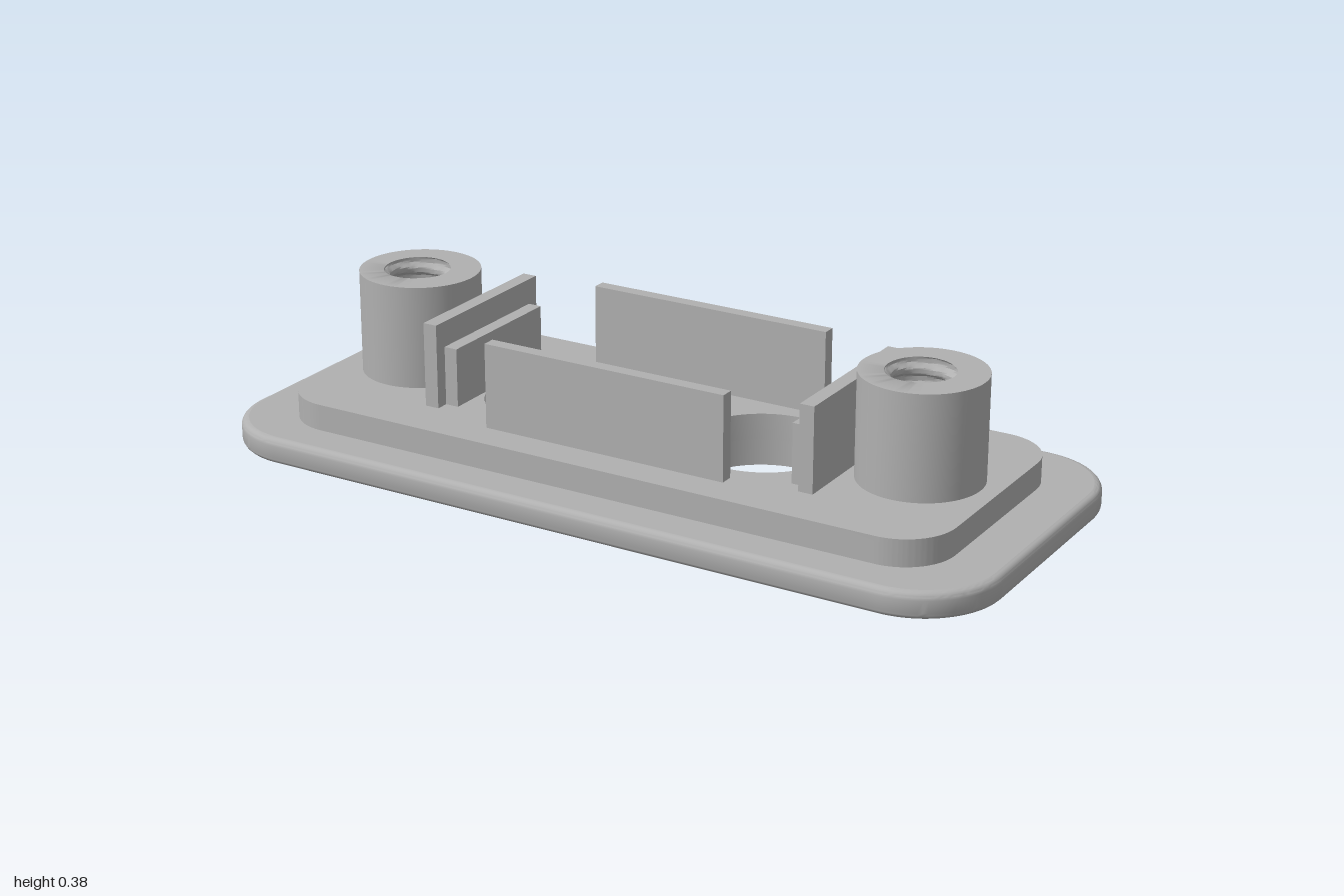
import * as THREE from 'three';
import { toCreasedNormals } from 'three/addons/utils/BufferGeometryUtils.js';

const HOLE_X = 0.28, HOLE_R = 0.18;
const BASE_TOP = 0.065, STEP_TOP = 0.13;

// Rounded rectangle from half sizes and a corner radius
function roundedRect(w, d, r) {
  const s = new THREE.Shape();
  [[1, 1], [-1, 1], [-1, -1], [1, -1]].forEach(([sx, sy], i) =>
    s.absarc(sx * (w - r), sy * (d - r), r, i * Math.PI / 2, (i + 1) * Math.PI / 2, false));
  s.closePath();
  return s;
}

function addHoles(shape) {
  for (const side of [-1, 1]) {
    const hole = new THREE.Path();
    hole.absarc(side * HOLE_X, 0, HOLE_R, 0, Math.PI * 2, true);
    shape.holes.push(hole);
  }
  return shape;
}

// Skin closed rings of [x, y, z] points, counterclockwise from above
function loft(rings, crease) {
  const n = rings[0].length, index = [];
  for (let i = 0; i < rings.length - 1; i++) {
    for (let j = 0; j < n; j++) {
      const a = i * n + j, b = i * n + (j + 1) % n;
      index.push(a, b, b + n, a, b + n, a + n);
    }
  }
  const g = new THREE.BufferGeometry();
  g.setAttribute('position', new THREE.Float32BufferAttribute(rings.flat(2), 3));
  g.setIndex(index);
  return toCreasedNormals(g, crease);
}

// Post with a helical thread cut into its bore
function threadedPost(radius, bottom, top) {
  const SEG = 64, ROWS = 66, PITCH = 0.045;
  const ring = (y, rAt) => Array.from({ length: SEG }, (_, j) => {
    const a = j / SEG * Math.PI * 2, r = rAt(a);
    return [r * Math.cos(a), y, -r * Math.sin(a)];
  });
  const rings = [ring(bottom, () => radius), ring(top, () => radius)];
  for (let i = 0; i <= ROWS; i++) {
    const y = top + (bottom - top) * i / ROWS;
    rings.push(ring(y, a => {
      const wave = Math.cos(2 * Math.PI * (y - top) / PITCH - a + Math.PI);
      return 0.081 + 0.007 * THREE.MathUtils.clamp(wave * 1.6, -1, 1);
    }));
  }
  return loft(rings, 0.7);
}

export function createModel() {
  const model = new THREE.Group();
  const grey = new THREE.MeshStandardMaterial({ color: 0xb0b0b0 });
  grey.name = 'grey';

  const add = (name, geometry, x = 0, y = 0, z = 0) => {
    const mesh = new THREE.Mesh(geometry, grey);
    mesh.name = name;
    mesh.position.set(x, y, z);
    model.add(mesh);
  };
  const box = (name, w, h, d, x, z) =>
    add(name, new THREE.BoxGeometry(w, h, d), x, STEP_TOP + h / 2, z);

  // Base flange: rounded rim and flat faces pierced by two holes
  const fillet = 0.018, rim = [];
  const outline = inset => roundedRect(1 - inset, 0.445 - inset, 0.2 - inset);
  const rimRing = (inset, y) => {
    const pts = outline(inset).getPoints(14);
    if (pts[0].distanceTo(pts[pts.length - 1]) < 1e-6) pts.pop();
    rim.push(pts.map(p => [p.x, y, -p.y]));
  };
  const STEPS = 5;
  for (let i = 0; i <= STEPS; i++) {
    const a = i / STEPS * Math.PI / 2;
    rimRing(fillet * (1 - Math.sin(a)), fillet * (1 - Math.cos(a)));
  }
  for (let i = 0; i <= STEPS; i++) {
    const a = i / STEPS * Math.PI / 2;
    rimRing(fillet * (1 - Math.cos(a)), BASE_TOP - fillet * (1 - Math.sin(a)));
  }
  add('baseRim', loft(rim, 0.6));
  const face = () => new THREE.ShapeGeometry(addHoles(outline(fillet)), 32);
  add('baseTopFace', face().rotateX(-Math.PI / 2), 0, BASE_TOP);
  add('baseBottomFace', face().rotateX(Math.PI / 2));

  // Raised step on the flange
  const step = new THREE.ExtrudeGeometry(addHoles(roundedRect(0.87, 0.34, 0.13)),
    { depth: STEP_TOP - BASE_TOP, bevelEnabled: false, curveSegments: 32 });
  add('raisedStep', toCreasedNormals(step.rotateX(-Math.PI / 2), 0.6), 0, BASE_TOP);

  for (const side of [-1, 1]) {
    // Inward-facing wall of each hole through the flange
    const wall = [new THREE.Vector2(HOLE_R, BASE_TOP), new THREE.Vector2(HOLE_R, 0)];
    add('holeWall', new THREE.LatheGeometry(wall, 64), side * HOLE_X);

    add('threadedPost', threadedPost(0.148, STEP_TOP, 0.385), side * 0.68);

    // Upright retaining plates
    box('longPlate', 0.636, 0.208, 0.033, 0, side * 0.2385);
    box('endPlate', 0.036, 0.208, 0.424, side * 0.503, 0);
    box('innerEndPlate', 0.034, 0.145, 0.36, side * 0.468, 0);
  }
  return model;
}
